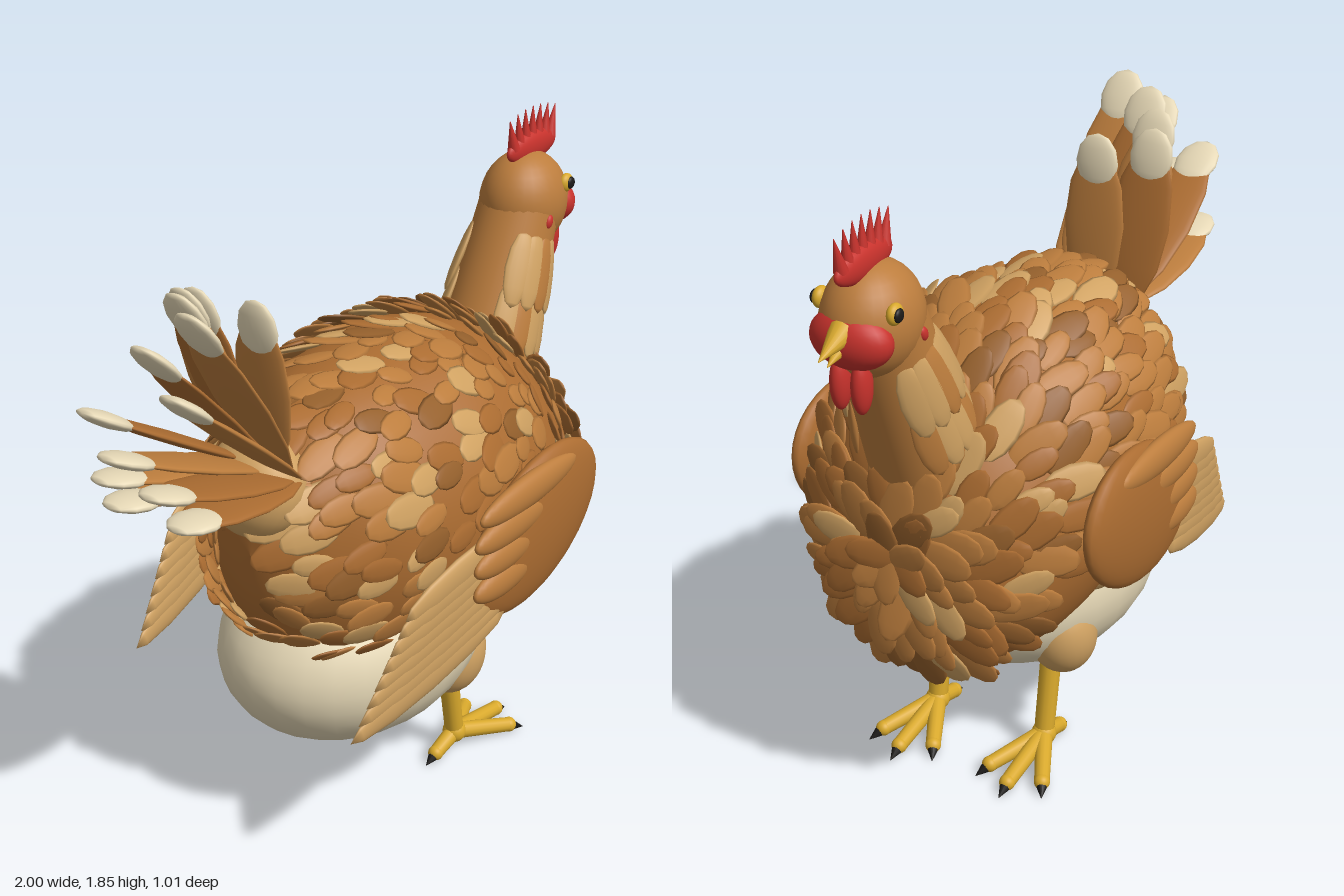
import * as THREE from 'three';
import { mergeGeometries } from 'three/addons/utils/BufferGeometryUtils.js';

const V = (x, y, z) => new THREE.Vector3(x, y, z);
const BROWN = 0xbc7d3d, RUST = 0xab6c31, DARK = 0x95602c, TAN = 0xd0a262, CREAM = 0xe6d8b6;
const RED = 0xc8322c, YELLOW = 0xd9a92c, BLACK = 0x1c1a18;
const mats = {};
const mat = c => (mats[c] ??= new THREE.MeshStandardMaterial({ color: c }));

function add(parent, name, geo, color) {
  const m = new THREE.Mesh(geo, mat(color));
  m.name = name;
  parent.add(m);
  return m;
}
function ellipsoid(parent, name, color, p, r, rotZ = 0) {
  const m = add(parent, name, new THREE.SphereGeometry(1, 28, 18), color);
  m.position.set(...p);
  m.scale.set(...r);
  m.rotation.z = rotZ;
  return m;
}
// tapered round bar from a to b
function bar(parent, name, color, a, b, ra, rb, sides = 14) {
  const d = b.clone().sub(a);
  const m = add(parent, name, new THREE.CylinderGeometry(rb, ra, d.length(), sides), color);
  m.position.copy(a).addScaledVector(d, 0.5);
  m.quaternion.setFromUnitVectors(V(0, 1, 0), d.normalize());
  return m;
}
// flat oval feather geometry: centre, long direction, facing normal, half sizes
function featherGeo(c, dir, normal, len, width, thick, seg = 10) {
  const y = dir.clone().normalize();
  const x = y.clone().cross(normal).normalize();
  const z = x.clone().cross(y);
  const m = new THREE.Matrix4().makeBasis(x, y, z).scale(V(width, len, thick)).setPosition(c);
  return new THREE.SphereGeometry(1, seg, 6).applyMatrix4(m);
}
let seed = 7;
const rand = () => (seed = (seed * 16807) % 2147483647) / 2147483647;

// body cross-sections from tail to breast: x, top, bottom, half width
const SECTIONS = [
  [-0.49, 0.92, 0.92, 0], [-0.465, 1.1, 0.73, 0.12], [-0.38, 1.23, 0.59, 0.235], [-0.23, 1.32, 0.5, 0.345],
  [0, 1.36, 0.45, 0.41], [0.2, 1.37, 0.42, 0.425], [0.38, 1.33, 0.41, 0.4], [0.53, 1.23, 0.46, 0.34],
  [0.65, 1.08, 0.57, 0.235], [0.695, 0.99, 0.7, 0.13], [0.715, 0.88, 0.88, 0]];
const spine = new THREE.CatmullRomCurve3(SECTIONS.map(s => V(s[0], s[1], s[2])));
const girth = new THREE.CatmullRomCurve3(SECTIONS.map(s => V(s[0], s[3], 0)));
function bodyPoint(t, a) {
  const s = spine.getPoint(t), w = Math.max(0, girth.getPoint(t).y);
  return V(s.x, (s.y + s.z) / 2 + (s.y - s.z) / 2 * Math.cos(a), w * Math.sin(a));
}

function bodyGeo() {
  const N = 50, M = 48, pos = [], idx = [];
  for (let i = 0; i <= N; i++)
    for (let j = 0; j < M; j++) pos.push(...bodyPoint(i / N, j / M * Math.PI * 2).toArray());
  for (let i = 0; i < N; i++)
    for (let j = 0; j < M; j++) {
      const k = (j + 1) % M, a = i * M + j, b = i * M + k, c = a + M, d = b + M;
      idx.push(a, b, c, b, d, c);
    }
  const g = new THREE.BufferGeometry();
  g.setAttribute('position', new THREE.Float32BufferAttribute(pos, 3));
  g.setIndex(idx);
  g.computeVertexNormals();
  return g;
}

// loosely overlapping plumage in staggered rings, tips swept away from the breast
function plumage(parent) {
  const colors = [BROWN, RUST, DARK, TAN, BROWN, RUST, BROWN], sets = {};
  const rings = 24;
  for (let i = 0; i < rings; i++) {
    const ringT = 0.985 - 0.87 * i / (rings - 1);
    const n = Math.max(6, Math.round(girth.getPoint(ringT).y * 2 * Math.PI / 0.074));
    for (let j = 0; j < n; j++) {
      const t = Math.min(0.985, ringT + (rand() - 0.5) * 0.03);
      const a = (j + (i % 2) / 2 + (rand() - 0.5) * 0.7) / n * Math.PI * 2;
      const p = bodyPoint(t, a);
      const low = p.x > 0.55 ? 0.5 : p.x > 0.2 ? 0.8 : 0.62;
      if (p.y < low) continue;
      const back = bodyPoint(t - 0.01, a).sub(bodyPoint(t + 0.01, a)).normalize();
      const around = bodyPoint(t, a + 0.02).sub(bodyPoint(t, a - 0.02)).normalize();
      const normal = around.clone().cross(back).normalize();
      if (normal.dot(V(p.x - 0.1, p.y - 0.88, p.z)) < 0) normal.negate();
      const dir = back.clone().addScaledVector(normal, 0.22 + rand() * 0.2)
        .addScaledVector(around, (rand() - 0.5) * 0.7);
      const size = 0.8 + rand() * 0.4;
      const c = p.addScaledVector(normal, 0.016 + rand() * 0.012).addScaledVector(back, 0.02);
      const color = colors[Math.floor(rand() * colors.length)];
      (sets[color] ??= []).push(featherGeo(c, dir, normal, 0.08 * size, 0.043 * size, 0.008));
    }
  }
  for (const c in sets) add(parent, 'bodyFeathers', mergeGeometries(sets[c]), Number(c));
}

function tail(parent) {
  ellipsoid(parent, 'tailBase', TAN, [-0.455, 1.12, 0], [0.12, 0.145, 0.15], -0.3);
  // feather tips: x, y, z
  const tips = [[-0.465, 1.64, 0.02], [-0.53, 1.66, -0.13], [-0.61, 1.69, -0.1], [-0.7, 1.72, -0.03],
    [-0.79, 1.725, 0.09], [-0.86, 1.64, 0.0], [-0.9, 1.56, 0.13], [-0.96, 1.48, -0.1],
    [-0.995, 1.4, 0], [-0.97, 1.32, 0.11], [-0.95, 1.24, -0.04], [-0.9, 1.21, 0.13], [-0.91, 1.27, -0.12]];
  tips.forEach(([x, y, z], i) => {
    const root = V(-0.42, 1.16, z * 0.75), tip = V(x, y, z);
    const d = tip.clone().sub(root), L = d.length(), u = d.clone().normalize();
    const normal = V(u.y, -u.x, 0);
    add(parent, 'tailFeather', featherGeo(root.clone().addScaledVector(d, 0.47), u, normal, L * 0.48, 0.095, 0.016, 20),
      i % 2 ? RUST : BROWN);
    add(parent, 'tailFeatherTip', featherGeo(tip.clone().addScaledVector(u, -0.075), u, normal, 0.085, 0.067, 0.02, 20), CREAM);
  });
}

function wing(parent, s) {
  const g = new THREE.Group();
  g.name = 'wing';
  parent.add(g);
  ellipsoid(g, 'wingShoulder', RUST, [0.2, 0.87, s * 0.45], [0.315, 0.205, 0.055], 0.36);
  // covert rows
  [[0.13, 1.02, 0.23, 0.05], [0.06, 0.945, 0.18, 0.05], [0.03, 0.87, 0.15, 0.05], [0.02, 0.795, 0.14, 0.05]]
    .forEach(([x, y, l, h]) => ellipsoid(g, 'wingCovert', BROWN, [x, y, s * 0.475], [l, h, 0.03], 0.06));
  // flight feathers, fanned and swept back toward the body
  for (let i = 0; i < 8; i++) {
    const f = i / 7;
    const root = V(0.06 - 0.02 * f, 0.93 - 0.25 * f, s * 0.47);
    const tip = V(-0.36 - 0.19 * f, 0.81 - 0.3 * f, s * (0.425 - 0.035 * f));
    const d = tip.clone().sub(root);
    add(g, 'flightFeather', featherGeo(root.clone().addScaledVector(d, 0.5), d, V(0, 0, 1),
      d.length() / 2, 0.05, 0.018, 20), TAN);
  }
}

function leg(parent, s) {
  const g = new THREE.Group();
  g.name = 'leg';
  parent.add(g);
  const z = s * 0.18, ankle = V(0.22, 0.065, z);
  ellipsoid(g, 'thigh', TAN, [0.16, 0.39, s * 0.205], [0.105, 0.13, 0.1], -0.25);
  bar(g, 'shank', YELLOW, V(0.17, 0.36, z), ankle, 0.031, 0.029);
  ellipsoid(g, 'ankle', YELLOW, ankle.toArray(), [0.036, 0.036, 0.036]);
  // three front toes and one rear toe, each with a claw
  [[0.44, 0], [0.39, 0.085], [0.39, -0.085], [0.125, 0]].forEach(([x, dz]) => {
    const end = V(x, 0.033, z + dz), u = end.clone().sub(ankle).normalize();
    bar(g, 'toe', YELLOW, ankle, end, 0.026, 0.022);
    ellipsoid(g, 'toeTip', YELLOW, end.toArray(), [0.023, 0.023, 0.023]);
    bar(g, 'claw', BLACK, end, end.clone().addScaledVector(u, 0.05).setY(0.012), 0.022, 0.001, 10);
  });
}

function head(parent) {
  const g = new THREE.Group();
  g.name = 'head';
  parent.add(g);
  bar(g, 'neck', BROWN, V(0.565, 1.14, 0), V(0.74, 1.56, 0), 0.145, 0.12, 32);
  ellipsoid(g, 'skull', BROWN, [0.764, 1.58, 0], [0.145, 0.15, 0.125]);
  ellipsoid(g, 'face', RED, [0.858, 1.562, 0], [0.068, 0.078, 0.113]);
  // comb
  ellipsoid(g, 'combBase', RED, [0.795, 1.735, 0], [0.122, 0.046, 0.025]);
  for (let i = 0; i < 7; i++) {
    const f = i / 3 - 1, x = 0.797 + f * 0.092;
    bar(g, 'combPoint', RED, V(x, 1.745, 0), V(x + f * 0.025, 1.855 - 0.02 * f * f, 0), 0.019, 0.001, 10);
  }
  // beak
  bar(g, 'upperBeak', YELLOW, V(0.895, 1.592, 0), V(1, 1.558, 0), 0.036, 0.001);
  bar(g, 'lowerBeak', YELLOW, V(0.895, 1.56, 0), V(0.965, 1.53, 0), 0.024, 0.001);
  for (const s of [1, -1]) {
    ellipsoid(g, 'eye', YELLOW, [0.828, 1.635, s * 0.104], [0.028, 0.028, 0.018]);
    ellipsoid(g, 'pupil', BLACK, [0.832, 1.636, s * 0.118], [0.018, 0.018, 0.009]);
    ellipsoid(g, 'wattle', RED, [0.868, 1.445, s * 0.03], [0.034, 0.075, 0.025]);
    ellipsoid(g, 'earLobe', RED, [0.725, 1.545, s * 0.116], [0.015, 0.022, 0.012], -0.4);
    // long hackle feathers down the sides of the neck
    for (let i = 0; i < 10; i++) {
      const a = -0.7 + (i % 5) * 0.34, f = i < 5 ? 0.32 : 0.62;
      const out = V(0.923, -0.385, 0).multiplyScalar(Math.sin(a));
      out.z = s * Math.cos(a);
      const c = V(0.565 + 0.175 * f, 1.14 + 0.42 * f, 0).addScaledVector(out, 0.152 - 0.025 * f);
      const dir = V(-0.385, -0.923, 0).addScaledVector(out, 0.16);
      add(g, 'hackleFeather', featherGeo(c, dir, out, 0.115, 0.042, 0.012, 14), [TAN, BROWN, TAN][i % 3]);
    }
  }
}

export function createModel() {
  const hen = new THREE.Group();
  hen.name = 'hen';
  add(hen, 'body', bodyGeo(), RUST);
  ellipsoid(hen, 'belly', CREAM, [-0.05, 0.5, 0], [0.45, 0.295, 0.345]);
  plumage(hen);
  tail(hen);
  head(hen);
  for (const s of [1, -1]) {
    wing(hen, s);
    leg(hen, s);
  }
  return hen;
}
